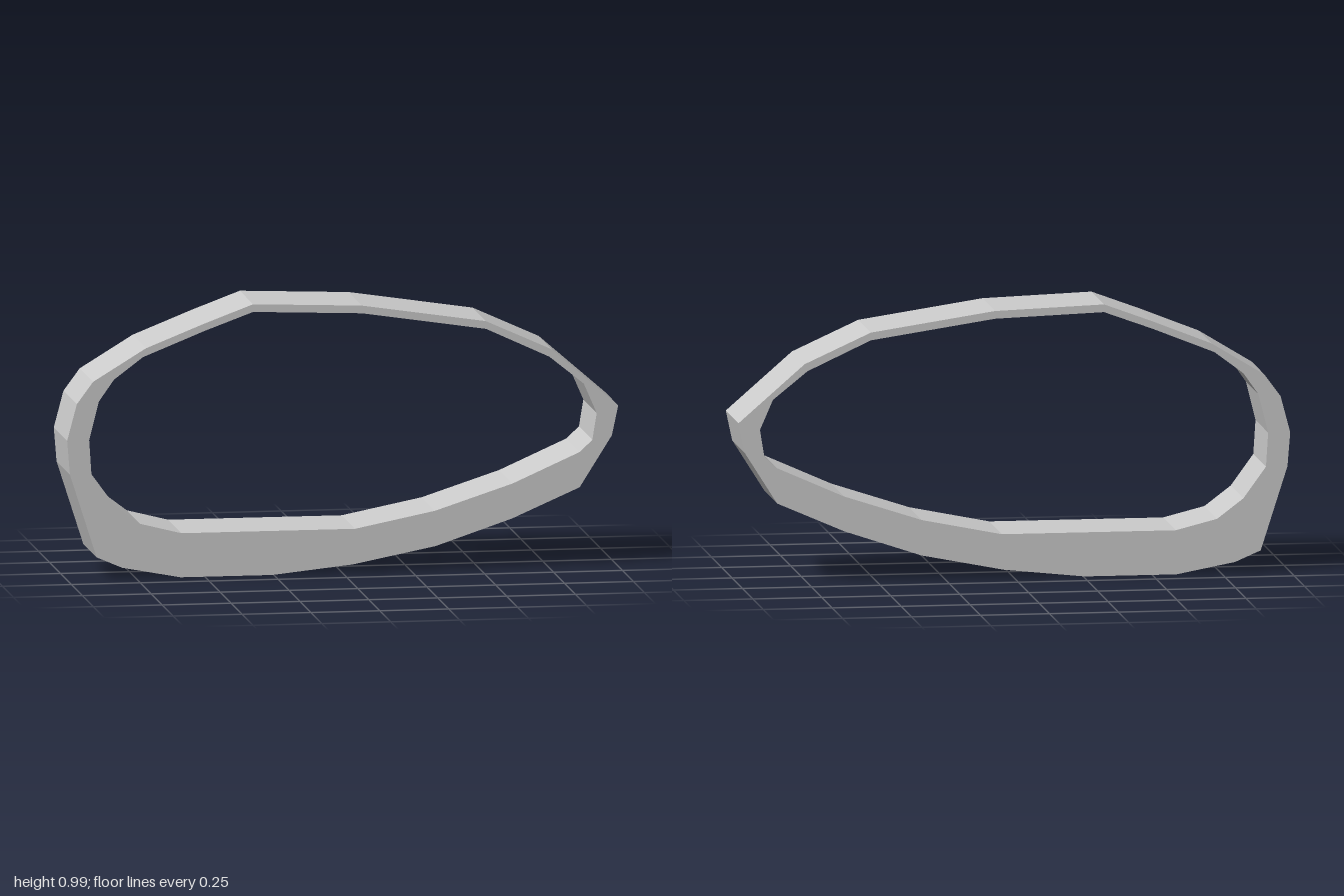
import * as THREE from 'three';

// Outline of the band, running clockwise from the peak
const OUTER = [
  [-0.325, 0.985], [0.07, 0.97], [0.52, 0.902], [0.76, 0.793], [1, 0.584],
  [0.977, 0.476], [0.86, 0.29], [0.615, 0.183], [0.338, 0.09], [0.038, 0.031],
  [-0.255, 0], [-0.588, 0], [-0.8, 0.04], [-0.893, 0.08], [-0.99, 0.383],
  [-1, 0.506], [-0.965, 0.638], [-0.906, 0.718], [-0.714, 0.835], [-0.5, 0.92],
];

// Opening, running the opposite way so its wall faces inward:
// thin along the top, thick along the bottom
const INNER = [
  [-0.5, 0.893], [-0.725, 0.803], [-0.83, 0.724], [-0.885, 0.646], [-0.92, 0.506],
  [-0.912, 0.383], [-0.83, 0.27], [-0.735, 0.198], [-0.585, 0.16], [0.045, 0.16],
  [0.335, 0.218], [0.617, 0.31], [0.86, 0.418], [0.906, 0.461], [0.922, 0.558],
  [0.875, 0.666], [0.75, 0.767], [0.52, 0.874], [0.07, 0.942], [-0.325, 0.957],
];

const DEPTH = 0.306;

const toPoints = (list) => list.map(([x, y]) => new THREE.Vector2(x, y));

export function createModel() {
  const group = new THREE.Group();
  group.name = 'bandModel';

  // Faceted closed band, extruded from the outline with its opening
  const profile = new THREE.Shape(toPoints(OUTER));
  profile.holes.push(new THREE.Path(toPoints(INNER)));
  const geometry = new THREE.ExtrudeGeometry(profile, { depth: DEPTH, bevelEnabled: false, steps: 1 });
  geometry.translate(0, 0, -DEPTH / 2);

  const material = new THREE.MeshStandardMaterial({ color: 0xcccccc, flatShading: true });
  const band = new THREE.Mesh(geometry, material);
  band.name = 'band';
  group.add(band);
  return group;
}
